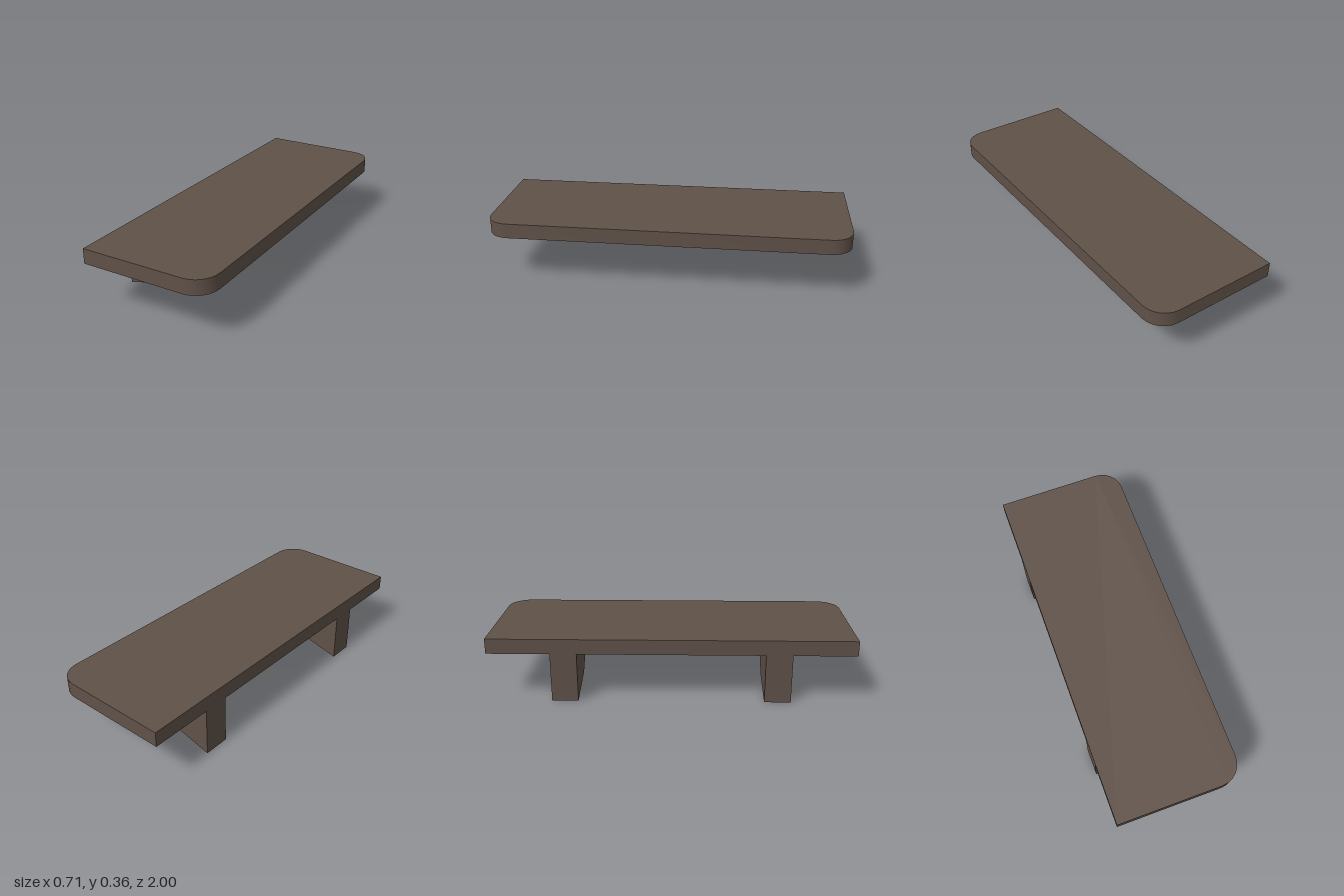
import * as THREE from 'three';
import { toCreasedNormals } from 'three/addons/utils/BufferGeometryUtils.js';

const BACK = -0.357, FRONT = 0.357, HALF = 1;
const UNDERSIDE = 0.273, TOP = 0.357;
const CORNER = 0.125;

// Extrudes a shape with soft shading across shallow bends only
function extrude(shape, depth) {
  const geometry = new THREE.ExtrudeGeometry(shape, { depth, bevelEnabled: false, curveSegments: 3 });
  return toCreasedNormals(geometry, 0.6);
}

export function createModel() {
  const group = new THREE.Group();
  group.name = 'wallShelf';
  const wood = new THREE.MeshStandardMaterial({ color: 0x5f5148 });
  wood.name = 'darkWood';

  // Board: square along the wall edge, rounded at the two outer corners
  const outline = new THREE.Shape();
  outline.moveTo(BACK, -HALF);
  outline.lineTo(FRONT - CORNER, -HALF);
  outline.absarc(FRONT - CORNER, -HALF + CORNER, CORNER, -Math.PI / 2, 0, false);
  outline.lineTo(FRONT, HALF - CORNER);
  outline.absarc(FRONT - CORNER, HALF - CORNER, CORNER, 0, Math.PI / 2, false);
  outline.lineTo(BACK, HALF);
  outline.closePath();
  const board = new THREE.Mesh(extrude(outline, TOP - UNDERSIDE), wood);
  board.name = 'board';
  board.rotation.x = -Math.PI / 2;
  board.position.y = UNDERSIDE;
  group.add(board);

  // Brackets: two matching angled supports below the board
  const profile = new THREE.Shape([
    new THREE.Vector2(BACK, 0),
    new THREE.Vector2(-0.11, 0.066),
    new THREE.Vector2(0.09, UNDERSIDE),
    new THREE.Vector2(BACK, UNDERSIDE),
  ]);
  const width = 0.145;
  const bracketGeometry = extrude(profile, width);
  for (const side of [-1, 1]) {
    const bracket = new THREE.Mesh(bracketGeometry, wood);
    bracket.name = side > 0 ? 'frontBracket' : 'backBracket';
    bracket.position.z = side * 0.582 - width / 2;
    group.add(bracket);
  }
  return group;
}
